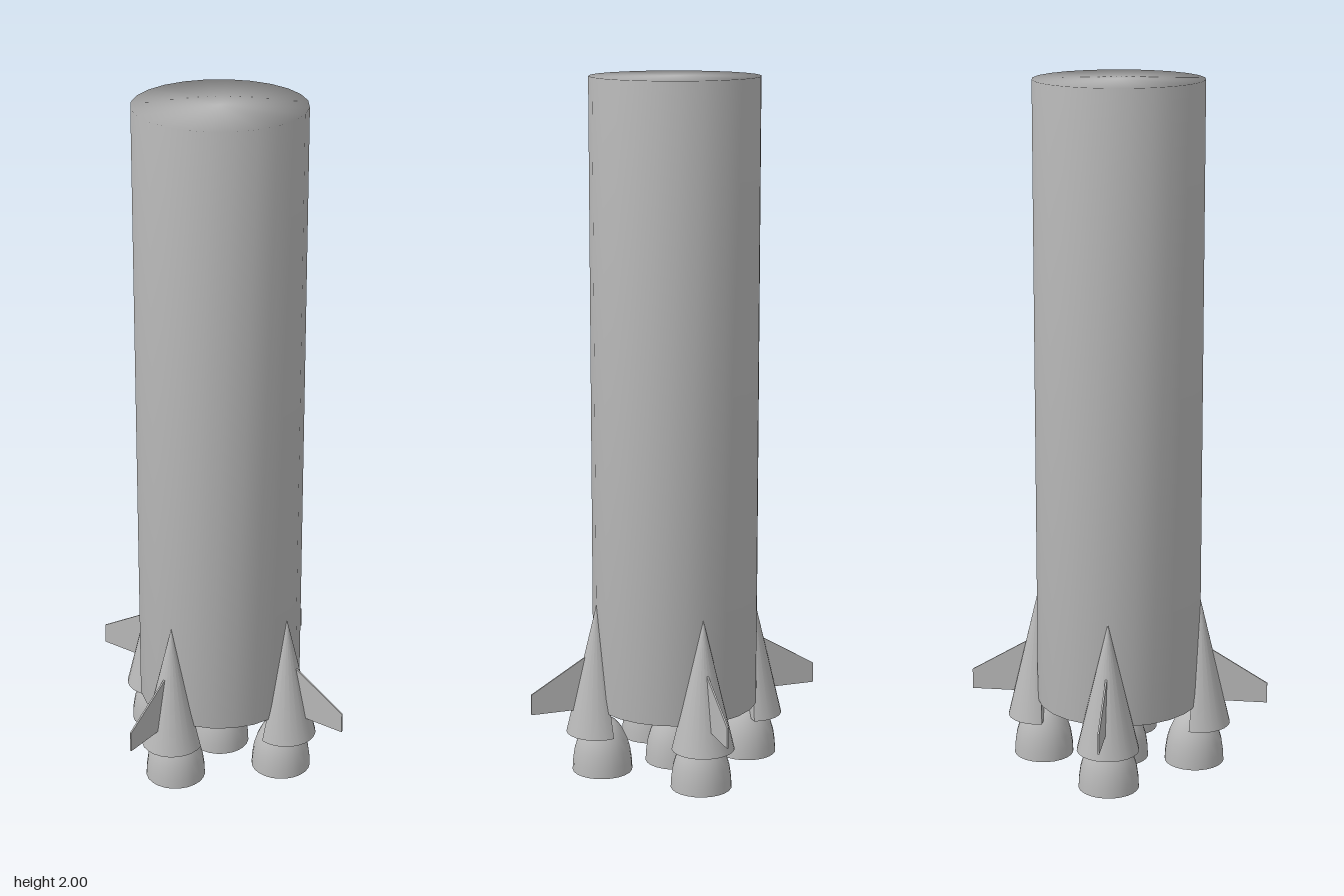
import * as THREE from 'three';
import { mergeVertices } from 'three/addons/utils/BufferGeometryUtils.js';

// Shares vertices across edges so the shading runs smoothly over the rims.
function smooth(geometry) {
  geometry.deleteAttribute('normal');
  geometry.deleteAttribute('uv');
  const merged = mergeVertices(geometry, 1e-4);
  merged.computeVertexNormals();
  return merged;
}

export function createModel() {
  const root = new THREE.Group();
  root.name = 'rocketBooster';
  const grey = new THREE.MeshStandardMaterial({ color: 0xb8b8b8, side: THREE.DoubleSide });
  grey.name = 'hull grey';

  function add(parent, name, geometry, x = 0, y = 0, z = 0) {
    const mesh = new THREE.Mesh(geometry, grey);
    mesh.name = name;
    mesh.position.set(x, y, z);
    parent.add(mesh);
    return mesh;
  }

  // Main tank, 24-sided
  add(root, 'tank', smooth(new THREE.CylinderGeometry(0.24, 0.24, 1.81, 24)), 0, 1.095, 0);

  // Open engine bell with a thin neck reaching the tank floor
  const bell = new THREE.LatheGeometry([
    [0.0875, 0], [0.086, 0.03], [0.081, 0.065], [0.072, 0.095],
    [0.058, 0.125], [0.04, 0.147], [0.02, 0.16], [0.012, 0.167], [0.012, 0.195],
  ].map(([r, y]) => new THREE.Vector2(r, y)), 24);
  add(root, 'centreEngine', bell);

  // Cone fairing, its back cut off inside the tank
  const cut = Math.PI / 12;
  const fairing = new THREE.CylinderGeometry(0, 0.09, 0.38, 14, 1, true, -cut, Math.PI + 2 * cut);
  const bx = -0.09 * Math.sin(cut), bz = 0.09 * Math.cos(cut);
  const back = new THREE.BufferGeometry();
  back.setAttribute('position', new THREE.Float32BufferAttribute(
    [0, 0.19, 0, bx, -0.19, -bz, bx, -0.19, bz], 3));
  back.computeVertexNormals();
  const floor = new THREE.CircleGeometry(0.09, 14, -Math.PI / 2 - cut, Math.PI + 2 * cut);
  floor.rotateX(Math.PI / 2);
  const floorEdge = new THREE.BufferGeometry();
  floorEdge.setAttribute('position', new THREE.Float32BufferAttribute(
    [0, 0, 0, bx, 0, -bz, bx, 0, bz], 3));
  floorEdge.computeVertexNormals();

  // Swept fin plate
  const finShape = new THREE.Shape([
    [0.25, 0.19], [0.438, 0.19], [0.438, 0.25], [0.275, 0.347], [0.25, 0.347],
  ].map(([x, y]) => new THREE.Vector2(x, y)));
  const fin = new THREE.ExtrudeGeometry(finShape, { depth: 0.005, bevelEnabled: false });
  fin.translate(0, 0, -0.0025);

  // Four identical pods around the base
  ['left', 'back', 'right', 'front'].forEach((side, i) => {
    const pod = new THREE.Group();
    pod.name = side + 'Pod';
    pod.rotation.y = i * Math.PI / 2;
    add(pod, 'fairing', fairing, 0.24, 0.31, 0);
    add(pod, 'fairingBack', back, 0.24, 0.31, 0);
    add(pod, 'fairingFloor', floor, 0.24, 0.12, 0);
    add(pod, 'fairingFloorEdge', floorEdge, 0.24, 0.12, 0);
    add(pod, 'engine', bell, 0.225, 0, 0);
    add(pod, 'fin', fin);
    root.add(pod);
  });
  return root;
}
